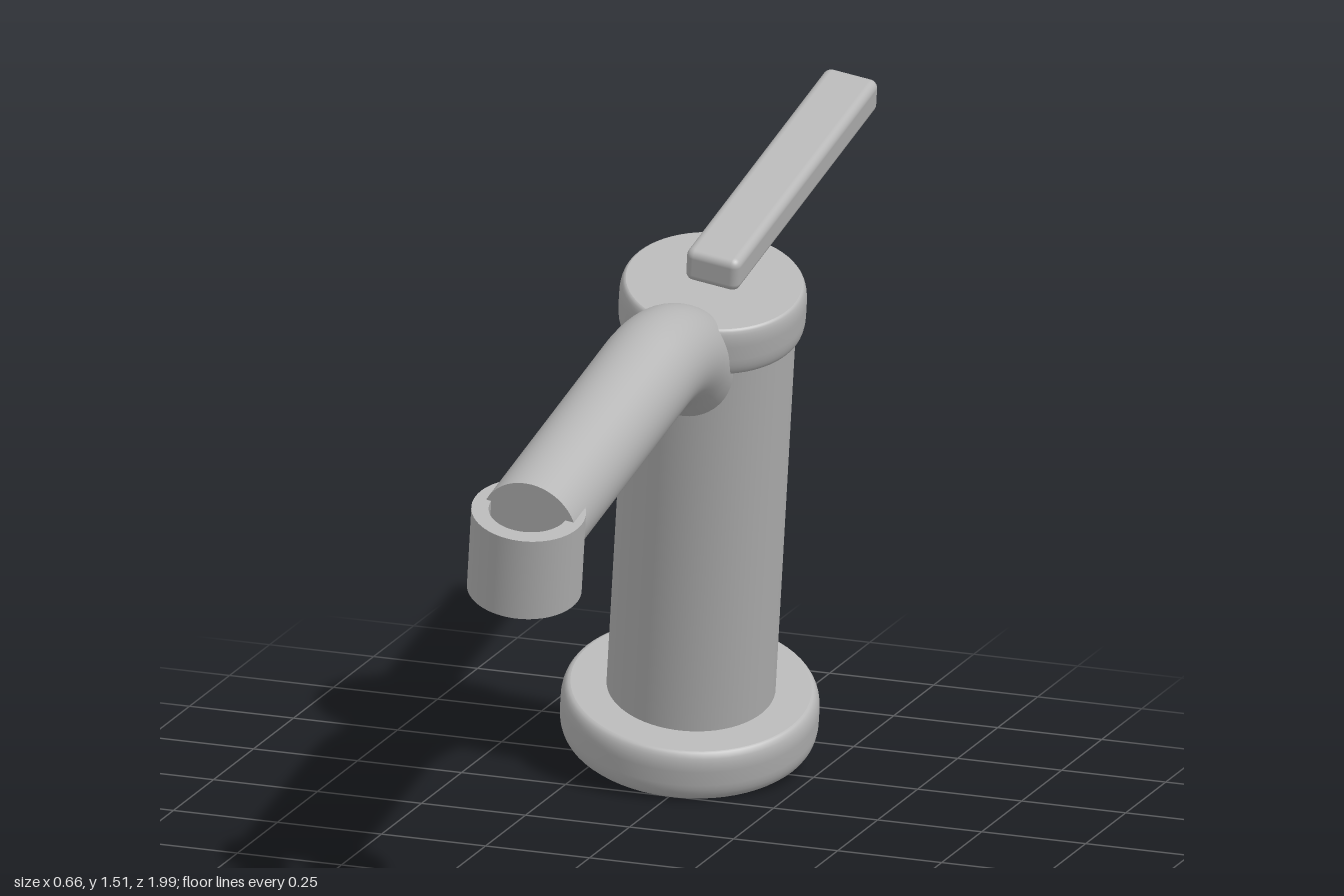
import * as THREE from 'three';
import { RoundedBoxGeometry } from 'three/addons/geometries/RoundedBoxGeometry.js';

const SEGMENTS = 64;

// Lathe whose doubled points keep an edge crisp
function lathe(points) {
  return new THREE.LatheGeometry(points.map(([r, y]) => new THREE.Vector2(r, y)), SEGMENTS);
}

// Flat disc with a softly rounded rim
function roundedDisc(radius, y0, y1, round) {
  const points = [[0, y0], [radius - round, y0], [radius - round, y0]];
  const steps = 6;
  const ry = (y1 - y0) * 0.36;
  for (let i = 1; i <= steps; i++) {
    const a = (i / steps) * Math.PI / 2;
    points.push([radius - round + round * Math.sin(a), y0 + ry - ry * Math.cos(a)]);
  }
  for (let i = 0; i <= steps; i++) {
    const a = (i / steps) * Math.PI / 2;
    points.push([radius - round + round * Math.cos(a), y1 - ry + ry * Math.sin(a)]);
  }
  points.push([radius - round, y1], [0, y1]);
  return lathe(points);
}

export function createModel() {
  const metal = new THREE.MeshStandardMaterial({ color: 0xb6b6b6 });
  metal.name = 'grey metal';

  const tap = new THREE.Group();
  tap.name = 'tap';
  const add = (name, geometry, parent = tap) => {
    const mesh = new THREE.Mesh(geometry, metal);
    mesh.name = name;
    parent.add(mesh);
    return mesh;
  };

  // Body: foot, column and cap share one axis
  add('base', roundedDisc(0.291, 0, 0.125, 0.02));
  const column = add('column', new THREE.CylinderGeometry(0.19, 0.19, 1.02, SEGMENTS, 1, true));
  column.position.y = 0.61;
  add('cap', roundedDisc(0.211, 1.09, 1.21, 0.013));

  // Lever handle lying on the cap and reaching backwards
  const lever = add('lever', new RoundedBoxGeometry(0.13, 0.083, 0.845, 4, 0.02));
  lever.position.set(0, 1.246, -0.3995);

  // Spout: rises out of the column, bends and runs forward
  const spout = new THREE.Group();
  spout.name = 'spout';
  tap.add(spout);
  const v = (y, z) => new THREE.Vector3(0, y, z);
  const path = new THREE.CurvePath();
  path.add(new THREE.LineCurve3(v(1.015, 0.08), v(1.09, 0.155)));
  path.add(new THREE.QuadraticBezierCurve3(v(1.09, 0.155), v(1.196, 0.261), v(1.196, 0.41)));
  path.add(new THREE.LineCurve3(v(1.196, 0.41), v(1.196, 1.1)));
  add('spoutPipe', new THREE.TubeGeometry(path, 60, 0.115, 48), spout);
  const end = add('spoutEnd', new THREE.CircleGeometry(0.115, 48), spout);
  end.position.set(0, 1.196, 1.1);

  // Nozzle: hollow upright ring around the end of the spout
  const [ri, ro, y0, y1] = [0.09, 0.129, 1.032, 1.24];
  const nozzle = add('nozzle', lathe([
    [ri, y0], [ro, y0], [ro, y0], [ro, y1], [ro, y1], [ri, y1], [ri, y1], [ri, y0],
  ]), spout);
  nozzle.position.set(-0.004, 0, 1.098);

  // Lean the whole tap forwards and towards its left
  const up = new THREE.Vector3(0.143, 0.96, 0.24).normalize();
  const side = new THREE.Vector3().crossVectors(up, new THREE.Vector3(-0.03, -0.24, 0.97)).normalize();
  const front = new THREE.Vector3().crossVectors(side, up);
  tap.quaternion.setFromRotationMatrix(new THREE.Matrix4().makeBasis(side, up, front));
  tap.position.set(-0.049, 0.082, -0.495);

  const model = new THREE.Group();
  model.name = 'leaningTap';
  model.add(tap);
  return model;
}
